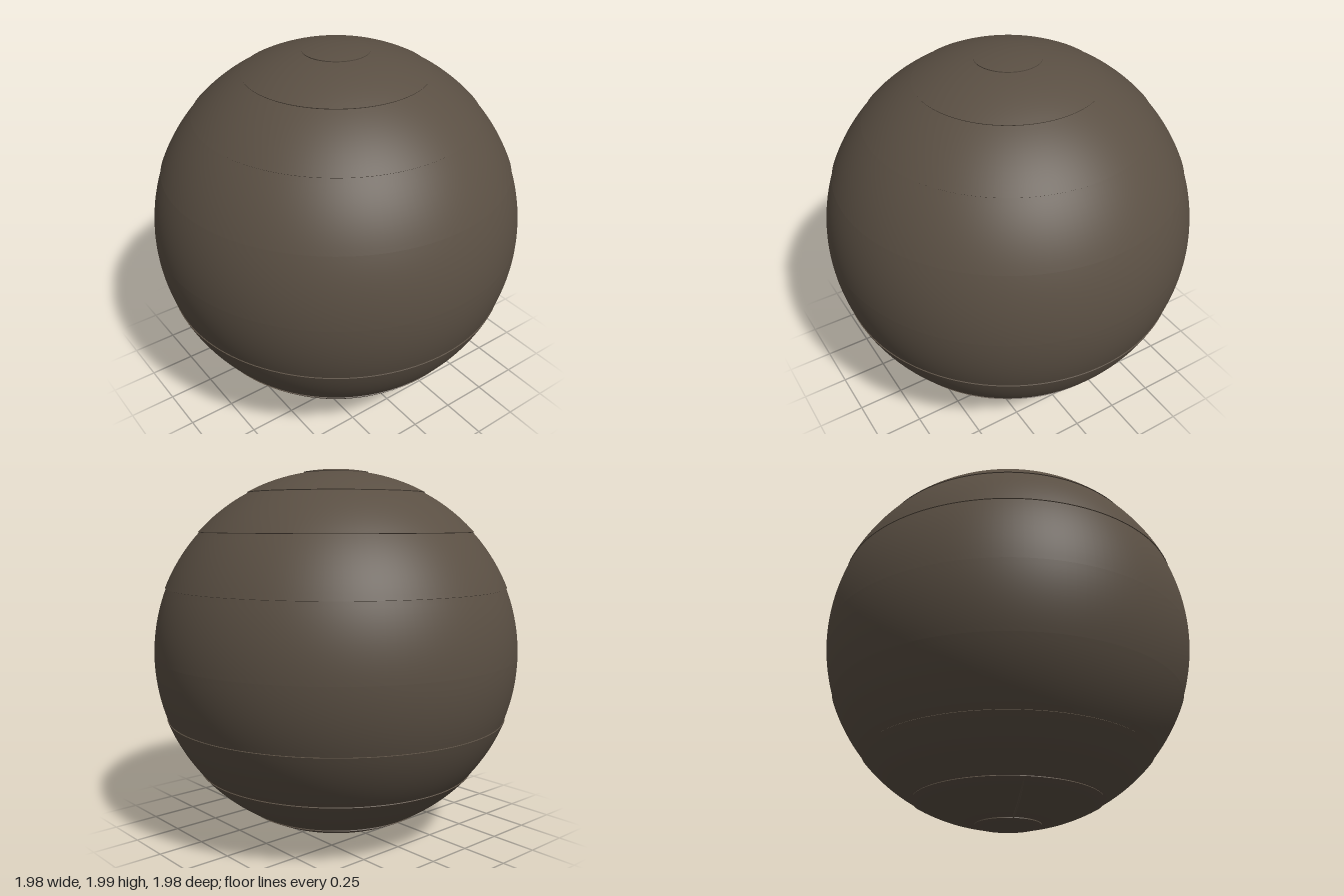
import * as THREE from 'three';

const CENTRE_Y = 0.997;
const EDGE = 0.995;   // radius of the band edge nearest the equator
const INSET = 0.99;   // radius of the edge towards the pole
const GROOVE = 0.98;  // radius at the bottom of the seams

const polar = (deg, r) => {
  const a = THREE.MathUtils.degToRad(deg);
  return new THREE.Vector2(Math.max(0, Math.cos(a) * r), Math.sin(a) * r);
};

// Curved strip between two latitudes, its radius easing from r0 to r1
function bandGeometry(lat0, lat1, r0, r1) {
  const points = [];
  for (let i = 0; i <= 12; i++) {
    const t = i / 12;
    points.push(polar(lat0 + (lat1 - lat0) * t, r0 + (r1 - r0) * t));
  }
  return new THREE.LatheGeometry(points, 128);
}

export function createModel() {
  const group = new THREE.Group();
  const shell = new THREE.MeshStandardMaterial({ name: 'dark brown shell', color: 0x5a4f43, side: THREE.DoubleSide });

  const add = (name, geometry) => {
    const mesh = new THREE.Mesh(geometry, shell);
    mesh.name = name;
    mesh.position.y = CENTRE_Y;
    group.add(mesh);
    return mesh;
  };

  // Latitudes of the seams above and below the equator
  const halves = [
    { name: 'upper', sign: 1, lats: [0, 21.8, 41.7, 61.2, 80, 90] },
    { name: 'lower', sign: -1, lats: [0, 20, 40, 60, 80, 90] },
  ];
  for (const { name, sign, lats } of halves) {
    for (let i = 0; i < lats.length - 1; i++) {
      const near = lats[i] * sign, far = lats[i + 1] * sign;
      const rNear = i === 0 ? 0.991 : EDGE;
      const rFar = i === lats.length - 2 ? EDGE : INSET;
      const label = i === lats.length - 2 ? name + 'Cap' : name + 'Band' + (i + 1);
      add(label, sign > 0
        ? bandGeometry(near, far, rNear, rFar)
        : bandGeometry(far, near, rFar, rNear));

      // Small ledge closing the step at the seam
      if (i > 0) {
        const ledge = [polar(near, GROOVE), polar(near, EDGE)];
        if (sign < 0) ledge.reverse();
        add(label + 'Ledge', new THREE.LatheGeometry(ledge, 128));
      }
    }
  }

  // Fine raised joint running from the lower cap to the next seam
  const joint = [];
  for (let i = 0; i <= 8; i++) {
    const p = polar(-80 + 20 * i / 8, 0.99);
    const a = THREE.MathUtils.degToRad(212);
    joint.push(new THREE.Vector3(p.x * Math.cos(a), p.y, p.x * Math.sin(a)));
  }
  add('lowerJoint', new THREE.TubeGeometry(new THREE.CatmullRomCurve3(joint), 24, 0.006, 6));

  return group;
}
